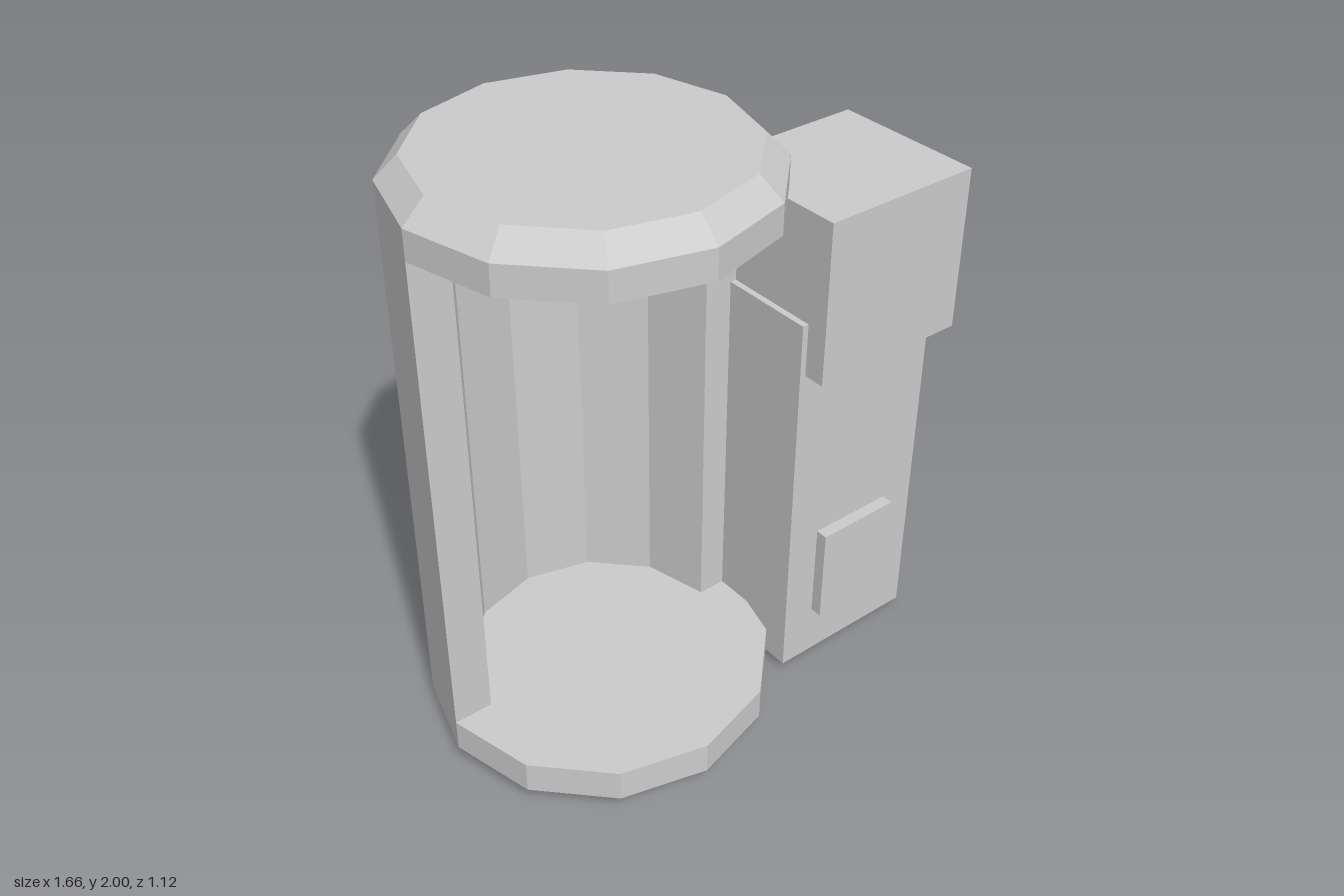
import * as THREE from 'three';

const CX = -0.27; // axis of the drum
const R = 0.56;
const INNER = 0.43;
const SIDES = 12;

export function createModel() {
  const model = new THREE.Group();
  model.name = 'model';
  const grey = new THREE.MeshStandardMaterial({ color: 0xcccccc, flatShading: true });
  grey.name = 'plain grey';

  const add = (name, geometry, x, y, z) => {
    const mesh = new THREE.Mesh(geometry, grey);
    mesh.name = name;
    mesh.position.set(x, y, z);
    model.add(mesh);
  };

  // Chamfered twelve-sided end discs, profiles run from bottom to top
  const disc = (name, profile) =>
    add(name, new THREE.LatheGeometry(profile.map(([r, y]) => new THREE.Vector2(r, y)), SIDES), CX, 0, 0);
  disc('baseDisc', [[0, 0], [0.495, 0], [R, 0.07], [R, 0.18], [0, 0.18]]);
  disc('topDisc', [[0, 1.835], [R, 1.835], [R, 1.93], [0.49, 2], [0, 2]]);

  // Half-ring wall around the back, open to the front
  const arc = (r) => Array.from({ length: SIDES / 2 + 1 }, (_, i) => {
    const a = (i / SIDES) * Math.PI * 2;
    return new THREE.Vector2(r * Math.cos(a), r * Math.sin(a));
  });
  const ring = new THREE.Shape([...arc(R), ...arc(INNER).reverse()]);
  const wall = new THREE.ExtrudeGeometry(ring, { depth: 1.655, bevelEnabled: false });
  wall.rotateX(-Math.PI / 2);
  add('backWall', wall, CX, 0.18, 0);

  // Side cabinet, the box on top of it and its front panel
  const box = (name, x0, x1, y0, y1, z0, z1) =>
    add(name, new THREE.BoxGeometry(x1 - x0, y1 - y0, z1 - z0), (x0 + x1) / 2, (y0 + y1) / 2, (z0 + z1) / 2);
  box('cabinet', 0.255, 0.797, 0.035, 1.385, -0.327, 0.327);
  box('upperBox', 0.276, 0.827, 1.205, 1.747, -0.122, 0.4);
  box('frontPanel', 0.365, 0.662, 0.228, 0.567, 0.336, 0.376);

  return model;
}
